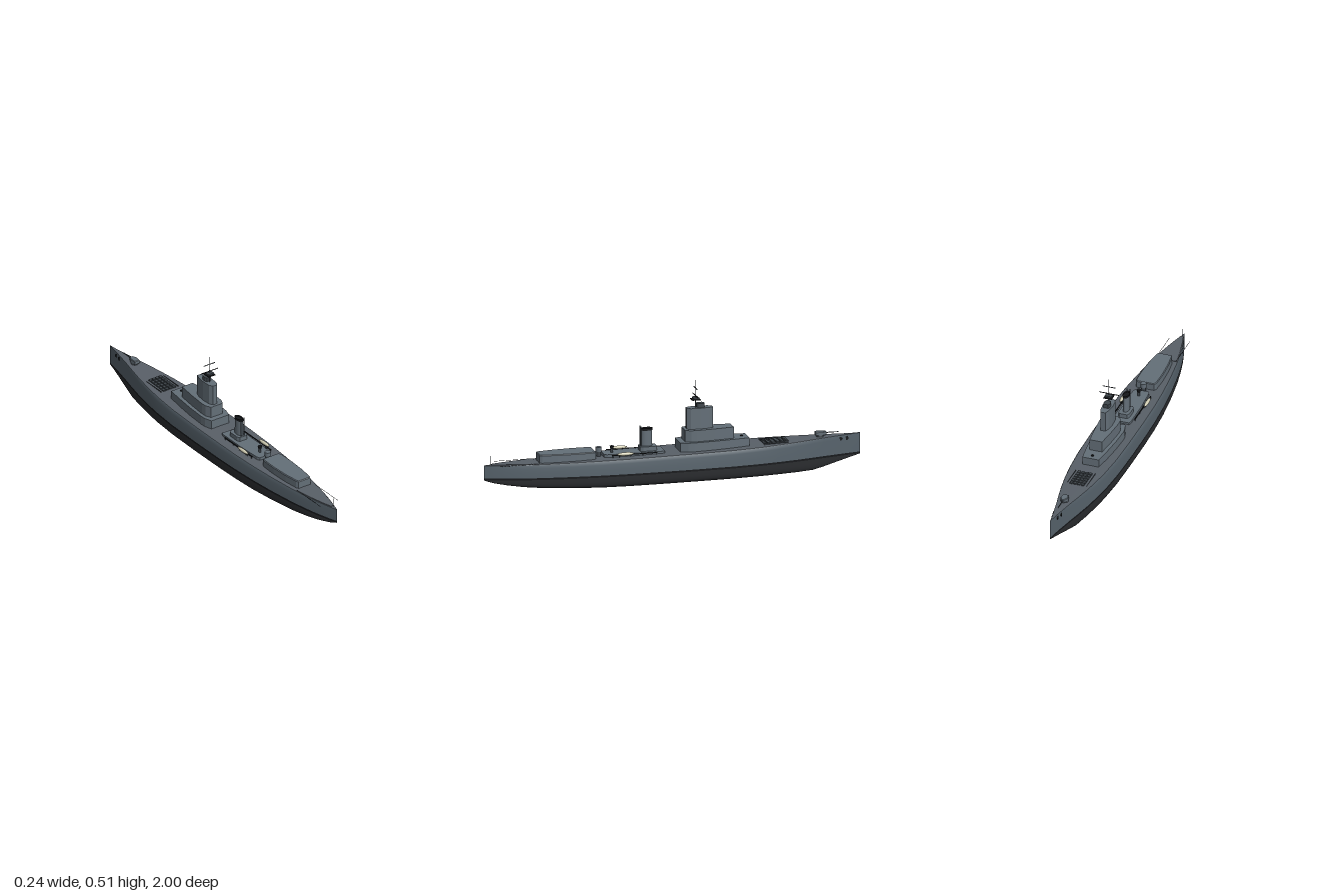
import * as THREE from 'three';

const paint = (color) => new THREE.MeshStandardMaterial({ color, side: THREE.DoubleSide });
const hullGrey = paint(0x56626b), deckGrey = paint(0x596068), houseGrey = paint(0x646f78);
const bottomDark = paint(0x2a2c2f), black = paint(0x15171a), steel = paint(0x3f464c), cream = paint(0xd2ceb4);

// Hull stations from bow to stern: z, half beam, deck height, keel height
const stations = [
  [-1, 0.001, 0.173, 0.062], [-0.95, 0.009, 0.171, 0.05], [-0.9, 0.019, 0.17, 0.038], [-0.8, 0.04, 0.168, 0.014],
  [-0.74, 0.054, 0.166, 0.002], [-0.65, 0.073, 0.163, 0], [-0.55, 0.09, 0.16, 0], [-0.45, 0.103, 0.157, 0],
  [-0.3, 0.114, 0.154, 0], [-0.1, 0.118, 0.152, 0], [0.1, 0.118, 0.15, 0], [0.25, 0.115, 0.148, 0],
  [0.4, 0.107, 0.146, 0.001], [0.55, 0.093, 0.144, 0.006], [0.7, 0.073, 0.142, 0.013], [0.8, 0.055, 0.141, 0.022],
  [0.88, 0.037, 0.14, 0.033], [0.95, 0.017, 0.14, 0.046], [0.98, 0.007, 0.14, 0.055], [1, 0.001, 0.14, 0.062],
];

// Deck height at any z
function deckAt(z) {
  const i = Math.max(1, stations.findIndex((s) => s[0] >= z));
  const a = stations[i - 1], b = stations[i];
  return a[2] + (b[2] - a[2]) * (z - a[0]) / (b[0] - a[0]);
}

// Skin through one cross-section per station
function loft(section) {
  const rows = stations.map(section), n = rows[0].length, pos = [], idx = [];
  rows.forEach((row, i) => row.forEach(([x, y]) => pos.push(x, y, stations[i][0])));
  for (let i = 0; i < rows.length - 1; i++) {
    for (let j = 0; j < n - 1; j++) {
      const a = i * n + j, b = a + n;
      idx.push(a, b, a + 1, b, b + 1, a + 1);
    }
  }
  const g = new THREE.BufferGeometry();
  g.setAttribute('position', new THREE.Float32BufferAttribute(pos, 3));
  g.setIndex(idx);
  g.computeVertexNormals();
  return g;
}

export function createModel() {
  const model = new THREE.Group();
  const add = (name, geo, mat, x = 0, y = 0, z = 0) => {
    const m = new THREE.Mesh(geo, mat);
    m.name = name;
    m.position.set(x, y, z);
    model.add(m);
    return m;
  };
  const box = (name, mat, w, h, d, x, y, z) => add(name, new THREE.BoxGeometry(w, h, d), mat, x, y, z);
  const rod = (name, mat, r, h, x, y, z, sides = 8) =>
    add(name, new THREE.CylinderGeometry(r, r, h, sides), mat, x, y + h / 2, z);
  // Vertical-walled house from half a plan outline of [z, x], fore to aft
  const house = (name, plan, y0, y1, mat = houseGrey, bevel = 0) => {
    const pts = [...plan.map(([z, x]) => [x - bevel, -z]), ...plan.map(([z, x]) => [bevel - x, -z]).reverse()];
    const shape = new THREE.Shape(pts.map((p) => new THREE.Vector2(...p)));
    const g = new THREE.ExtrudeGeometry(shape, {
      depth: y1 - y0 - bevel, bevelEnabled: bevel > 0, bevelSize: bevel, bevelThickness: bevel, bevelSegments: 1,
    });
    g.rotateX(-Math.PI / 2);
    return add(name, g, mat, 0, y0, 0);
  };

  // Hull: topsides, waterline band, underwater body and deck
  for (const s of [1, -1]) {
    const side = s > 0 ? 'left' : 'right';
    const order = (pts) => (s > 0 ? pts : pts.reverse());
    add(side + 'Topside', loft(([, b, d]) => order([[0.91, d], [0.945, d - 0.004], [0.97, d - 0.02],
      [0.99, 0.1], [1, 0.072]].map(([f, y]) => [s * f * b, y]))), hullGrey);
    add(side + 'WaterlineBand', loft(([, b]) => order([[s * b, 0.072], [s * b, 0.062]])), black);
  }
  const bilge = [[1, 1], [0.995, 0.6], [0.975, 0.33], [0.93, 0.16], [0.85, 0.06], [0.7, 0.015], [0.4, 0]];
  add('underwaterHull', loft(([, b, , k]) => {
    const half = bilge.map(([f, t]) => [f * b, k + (0.062 - k) * t]);
    return [...half, [0, k], ...half.map(([x, y]) => [-x, y]).reverse()];
  }), bottomDark);
  add('deck', loft(([, b, d]) => [[-0.91 * b, d], [0, d + 0.002], [0.91 * b, d]]), deckGrey);

  // Forward superstructure in stacked tiers
  house('lowerBridgeTier', [[-0.4, 0.045], [-0.3, 0.057], [-0.2, 0.066], [-0.1, 0.07], [-0.07, 0.068], [-0.03, 0.055]], 0.145, 0.2);
  house('upperBridgeTier', [[-0.32, 0.034], [-0.22, 0.045], [-0.12, 0.052], [-0.09, 0.05], [-0.06, 0.037]], 0.19, 0.26);
  house('bridgeTower', [[-0.215, 0.013], [-0.19, 0.022], [-0.145, 0.027], [-0.095, 0.024], [-0.075, 0.012]], 0.25, 0.37);
  house('towerTop', [[-0.17, 0.012], [-0.162, 0.017], [-0.14, 0.017], [-0.13, 0.012]], 0.365, 0.392, steel);
  rod('foreHatch', black, 0.008, 0.004, 0, 0.2, -0.37, 12);

  // Mast, radar platform and yards
  rod('mast', steel, 0.003, 0.07, 0, 0.368, -0.125);
  rod('topmast', steel, 0.0013, 0.085, 0, 0.43, -0.125, 6);
  box('radarPlatform', black, 0.046, 0.003, 0.046, 0, 0.413, -0.125);
  box('radarHead', steel, 0.036, 0.008, 0.03, 0, 0.42, -0.125);
  box('lowerYard', black, 0.108, 0.003, 0.003, 0, 0.432, -0.125);
  box('upperYard', steel, 0.07, 0.003, 0.003, 0, 0.472, -0.125);

  // Hatch field on the foredeck, following the sheer
  const field = new THREE.Group();
  field.name = 'hatchField';
  model.add(field);
  const cellGeo = new THREE.BoxGeometry(0.016, 0.006, 0.018);
  for (let i = 0; i < 6; i++) {
    for (let j = 0; j < 4; j++) {
      const cell = new THREE.Mesh(cellGeo, steel), z = -0.6 + i * 0.023;
      cell.position.set((j - 1.5) * 0.021, deckAt(z) + 0.004, z);
      cell.name = 'hatch';
      field.add(cell);
    }
  }
  for (const s of [1, -1]) box('hatchFieldCurb', steel, 0.002, 0.006, 0.13, s * 0.053, deckAt(-0.54) + 0.002, -0.54);

  // Deck gun
  const gunY = deckAt(-0.79);
  add('gunBase', new THREE.CylinderGeometry(0.018, 0.021, 0.012, 12), steel, 0, gunY + 0.005, -0.785);
  house('gunTurret', [[-0.815, 0.009], [-0.795, 0.019], [-0.765, 0.016]], gunY + 0.009, gunY + 0.027, houseGrey, 0.003);
  add('gunBarrel', new THREE.CylinderGeometry(0.0018, 0.003, 0.08, 8).rotateX(-Math.PI / 2), steel, 0, gunY + 0.018, -0.845);

  // Midship platform, funnel base and funnel
  house('midshipPlatform', [[0.05, 0.045], [0.065, 0.05], [0.22, 0.05], [0.355, 0.043], [0.37, 0.036]], 0.14, 0.163);
  house('funnelBase', [[0.085, 0.022], [0.1, 0.03], [0.16, 0.03], [0.175, 0.022]], 0.16, 0.186);
  const oval = (r0, r1, h, open = false) => new THREE.CylinderGeometry(r1, r0, h, 24, 1, open).scale(0.55, 1, 1);
  add('funnel', oval(0.03, 0.028, 0.088), houseGrey, 0, 0.228, 0.135);
  add('funnelCap', oval(0.031, 0.031, 0.012, true), black, 0, 0.274, 0.135);
  add('funnelMouth', oval(0.026, 0.026, 0.002), black, 0, 0.273, 0.135);
  for (const s of [1, -1]) rod('exhaustPipe', steel, 0.003, 0.105, s * 0.009, 0.185, 0.167);

  // Lifeboats with davits and side rails
  const boatGeo = new THREE.SphereGeometry(1, 20, 12).scale(0.009, 0.009, 0.045);
  for (const s of [1, -1]) {
    add('lifeboat', boatGeo, cream, s * 0.067, 0.167, 0.265);
    box('boatRail', black, 0.004, 0.004, 0.24, s * 0.06, 0.161, 0.215);
    for (const z of [0.1, 0.17, 0.235, 0.295, 0.33]) rod('railPost', steel, 0.002, 0.018, s * 0.06, 0.144, z, 6);
    for (const z of [0.235, 0.295]) box('davit', steel, 0.026, 0.003, 0.003, s * 0.058, 0.158, z);
  }

  // Director post and small mount abaft the funnel
  rod('directorPost', steel, 0.007, 0.025, 0, 0.16, 0.32, 10);
  add('directorHead', new THREE.CylinderGeometry(0.011, 0.009, 0.014, 12), black, 0, 0.19, 0.32);
  rod('aftMountBase', steel, 0.012, 0.03, 0, 0.145, 0.39, 12);
  rod('aftMountTop', houseGrey, 0.016, 0.024, 0, 0.172, 0.39, 12);

  // Aft deckhouse and quarterdeck
  house('aftDeckhouse', [[0.42, 0.05], [0.435, 0.056], [0.52, 0.058], [0.62, 0.053], [0.7, 0.043], [0.71, 0.038]], 0.135, 0.185, houseGrey, 0.004);
  house('quarterdeckPad', [[0.725, 0.058], [0.82, 0.042], [0.9, 0.025], [0.96, 0.009]], 0.138, 0.1445, deckGrey);
  for (const s of [1, -1]) {
    rod('quarterdeckBoom', black, 0.001, 0.21, s * 0.055, 0.144, 0.72, 6).geometry.rotateX(Math.PI / 2);
    model.children.at(-1).position.set(s * 0.055, 0.144, 0.825);
  }
  rod('flagstaff', steel, 0.001, 0.048, 0, 0.14, 0.967, 6);

  // Bow anchors and hawse openings
  for (const s of [1, -1]) {
    for (const [z, x] of [[-0.89, 0.02], [-0.925, 0.0135]]) {
      const disc = add('anchorPort', new THREE.CylinderGeometry(0.01, 0.01, 0.004, 12).rotateZ(Math.PI / 2), black, s * x, 0.152, z);
      disc.rotation.y = -s * 0.2;
    }
  }
  return model;
}
